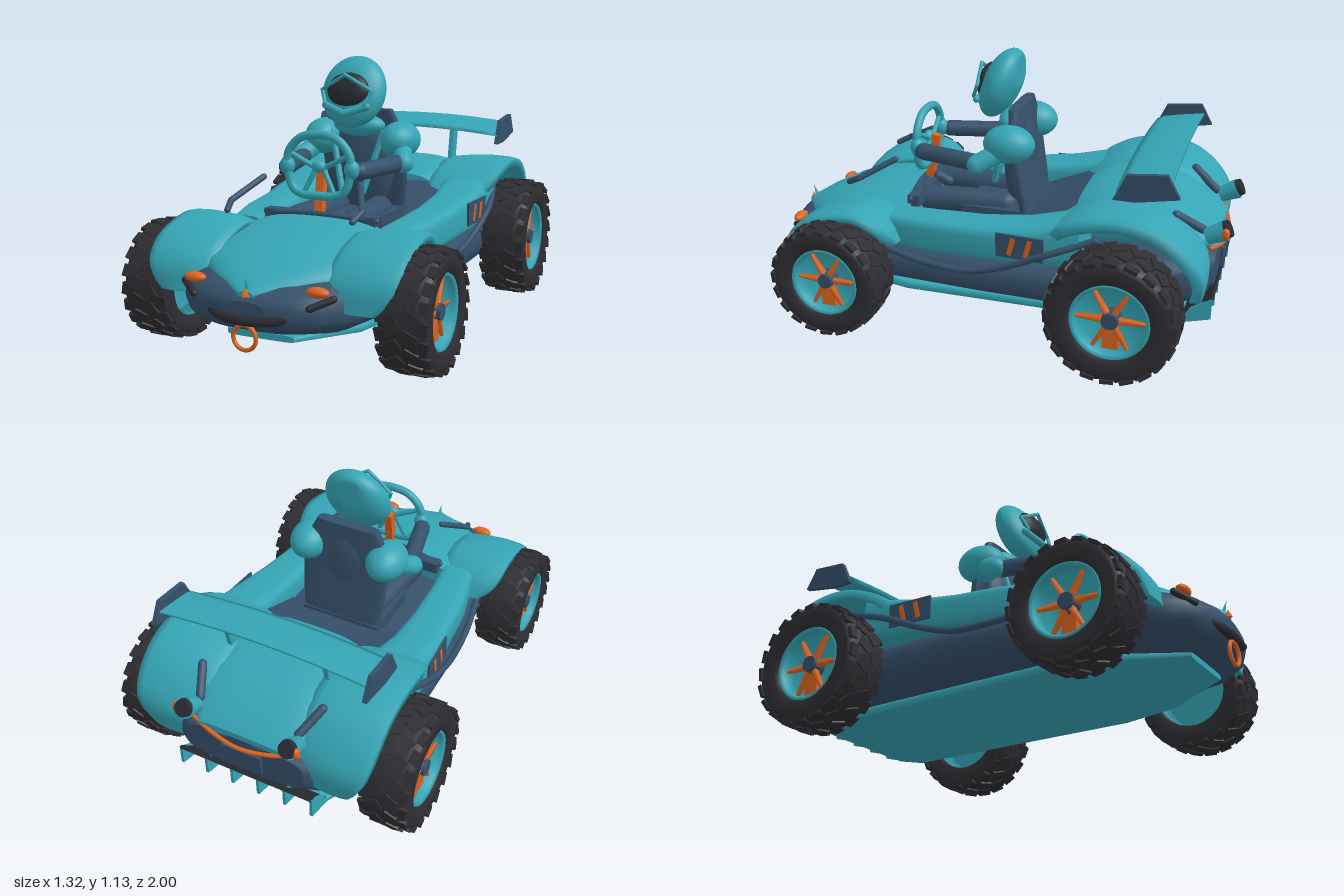
import * as THREE from 'three';
import { mergeGeometries } from 'three/addons/utils/BufferGeometryUtils.js';

const mat = (name, color) => {
  const m = new THREE.MeshStandardMaterial({ color });
  m.name = name;
  return m;
};
const V = (p) => new THREE.Vector3(...p);

// Skin closed rings of points into a capped solid, facing outwards
function loft(rings) {
  const n = rings[0].length, m = rings.length;
  const pos = rings.flat(), idx = [];
  for (let i = 0; i < m - 1; i++) for (let j = 0; j < n; j++) {
    const a = i * n + j, b = i * n + (j + 1) % n;
    idx.push(a, b, a + n, b, b + n, a + n);
  }
  [0, m - 1].forEach((r, end) => {
    const base = pos.length;
    const mid = [0, 1, 2].map((k) => rings[r].reduce((s, p) => s + p[k], 0) / n);
    pos.push(...rings[r], mid);
    for (let j = 0; j < n; j++) {
      const a = base + j, b = base + (j + 1) % n;
      if (end) idx.push(a, b, base + n); else idx.push(b, a, base + n);
    }
  });
  let vol = 0;
  for (let i = 0; i < idx.length; i += 3) vol += V(pos[idx[i]]).dot(V(pos[idx[i + 1]]).cross(V(pos[idx[i + 2]])));
  if (vol < 0) idx.reverse();
  const g = new THREE.BufferGeometry();
  g.setAttribute('position', new THREE.Float32BufferAttribute(pos.flat(), 3));
  g.setIndex(idx);
  g.computeVertexNormals();
  return g;
}

// Rounded-rectangle ring at depth z, between x0..x1 and y0..y1
function ring(z, x0, x1, y0, y1, e = 0.5, n = 32) {
  const pw = (v) => Math.sign(v) * Math.abs(v) ** e;
  return Array.from({ length: n }, (_, i) => {
    const a = (i / n) * Math.PI * 2;
    return [(x0 + x1) / 2 + (x1 - x0) / 2 * pw(Math.cos(a)), (y0 + y1) / 2 + (y1 - y0) / 2 * pw(Math.sin(a)), z];
  });
}

// Straight round bar and bent tube with rounded ends
function bar(a, b, r) {
  const A = V(a), B = V(b), d = B.clone().sub(A);
  const g = new THREE.CapsuleGeometry(r, d.length(), 5, 14);
  g.applyQuaternion(new THREE.Quaternion().setFromUnitVectors(V([0, 1, 0]), d.normalize()));
  const c = A.add(B).multiplyScalar(0.5);
  return g.translate(c.x, c.y, c.z);
}
function tube(pts, r) {
  const curve = new THREE.CatmullRomCurve3(pts.map(V));
  const ends = [pts[0], pts[pts.length - 1]].map((p) => new THREE.SphereGeometry(r, 10, 8).translate(...p));
  return mergeGeometries([new THREE.TubeGeometry(curve, 30, r, 10), ...ends]);
}
const ball = (p, s, rx = 0) => new THREE.SphereGeometry(1, 28, 20).scale(...s).rotateX(rx).translate(...p);
const box = (p, s, rx = 0, ry = 0) => new THREE.BoxGeometry(...s).rotateX(rx).rotateY(ry).translate(...p);

export function createModel() {
  const teal = mat('teal paint', 0x35a5b5), navy = mat('navy paint', 0x35506a);
  const rubber = mat('tyre rubber', 0x2e2e33), black = mat('dark trim', 0x2a2c33);
  const orange = mat('orange accent', 0xdc641f);
  const car = new THREE.Group();
  car.name = 'buggy';
  const add = (name, geo, m, parent = car) => {
    const mesh = new THREE.Mesh(geo, m);
    mesh.name = name;
    parent.add(mesh);
  };

  // Lower hull: z, half width, bottom, top, squareness
  add('hull', loft([[-0.94, 0.27, 0.27, 0.43, 0.55], [-0.88, 0.36, 0.22, 0.46, 0.6], [-0.7, 0.42, 0.16, 0.46, 0.7], [-0.4, 0.47, 0.14, 0.42, 0.78],
    [0, 0.47, 0.14, 0.42, 0.82], [0.36, 0.44, 0.14, 0.41, 0.8], [0.6, 0.42, 0.145, 0.4, 0.78], [0.8, 0.37, 0.155, 0.39, 0.75],
    [0.91, 0.28, 0.18, 0.36, 0.75], [0.955, 0.19, 0.205, 0.335, 0.8], [0.975, 0.08, 0.24, 0.31, 0.9]]
    .map(([z, w, b, t, e]) => ring(z, -w, w, b, t, e))), navy);
  add('floorPan', loft([[-0.84, 0.3, 0.125], [-0.75, 0.34, 0.11], [0.35, 0.35, 0.11], [0.6, 0.3, 0.115], [0.86, 0.14, 0.135]]
    .map(([z, w, b]) => ring(z, -w, w, b, 0.16, 0.35))), teal);

  // Hood: z, half width, edge height, crown height
  add('hood', loft([[0.36, 0.36, 0.33, 0.51], [0.5, 0.36, 0.33, 0.505], [0.65, 0.35, 0.33, 0.48], [0.78, 0.29, 0.33, 0.44],
    [0.88, 0.17, 0.33, 0.395], [0.965, 0.03, 0.325, 0.345]].map(([z, w, e, t]) =>
    Array.from({ length: 25 }, (_, i) => {
      const a = (i / 24) * Math.PI;
      return [w * Math.cos(a), e + (t - e) * Math.max(0, Math.sin(a)) ** 0.6, z];
    }))), teal);
  add('rearDeck', loft([[-0.36, 0.24, 0.36, 0.57], [-0.45, 0.27, 0.38, 0.615], [-0.6, 0.29, 0.4, 0.63], [-0.75, 0.28, 0.41, 0.595],
    [-0.87, 0.25, 0.42, 0.52], [-0.94, 0.2, 0.42, 0.455]].map(([z, w, b, t]) => ring(z, -w, w, b, t, 0.65))), teal);
  add('cockpitRear', box([0, 0.45, -0.26], [0.54, 0.09, 0.34], 0.38), navy);
  add('dashboard', box([0, 0.49, 0.35], [0.5, 0.05, 0.05]), navy);
  add('dashEdge', tube([[-0.25, 0.5, 0.36], [0, 0.515, 0.39], [0.25, 0.5, 0.36]], 0.012), navy);

  // Mudguard wrapped round a wheel centre, crisp at the outer rim; path points are [z, y]
  const guard = (s, path, cz, cy, x0, x1, th, taper) => {
    const pts = new THREE.CatmullRomCurve3(path.map(([z, y]) => V([0, y, z]))).getPoints(24);
    return loft(pts.map((p, k) => {
      const t = k / 24, inw = V([0, cy, cz]).sub(p).normalize();
      const xo = x1 - taper * Math.abs(2 * t - 1) ** 4;
      return [[0, 0.03], [0.12, 0.016], [0.35, 0.006], [0.65, 0], [0.9, 0.003], [1, 0.01], [1, 0.02 + th], [0.5, 0.01 + th], [0, 0.03 + th]]
        .map(([u, d]) => [s * (x0 + (xo - x0) * u), p.y + inw.y * d, p.z + inw.z * d]);
    }));
  };

  // Wheel built along +x, outer face at +x; r is the rim radius
  const wheel = (name, R, r, hw) => {
    const g = new THREE.Group();
    g.name = name;
    const lathe = (pts) => new THREE.LatheGeometry(pts.map(([q, a]) => new THREE.Vector2(q, a * hw)), 48).rotateZ(-Math.PI / 2);
    add('tyre', lathe([[r, -0.8], [r * 1.08, -0.95], [0.84 * R, -0.98], [0.93 * R, -0.87], [0.98 * R, -0.5], [0.98 * R, 0.5],
      [0.93 * R, 0.87], [0.84 * R, 0.98], [r * 1.08, 0.95], [r, 0.8], [r * 0.97, 0], [r, -0.8]]), rubber, g);
    const lugs = [];
    for (let i = 0; i < 20; i++) for (const [x, q, w, off, skew] of [[-0.3, 0.97, 0.55, 0, 0.5], [0.3, 0.97, 0.55, 0.5, -0.5],
      [-0.82, 0.93, 0.36, 0.5, 0.15], [0.82, 0.93, 0.36, 0, -0.15]]) {
      lugs.push(new THREE.BoxGeometry(w * hw, 0.06 * R, 0.2 * R).rotateY(skew).translate(x * hw, q * R, 0)
        .rotateX((i + off) / 20 * Math.PI * 2));
    }
    add('treadLugs', mergeGeometries(lugs), rubber, g);
    add('rim', lathe([[r * 0.86, 0.2], [r, -0.8], [r * 1.01, 0.75], [r * 0.97, 0.87], [r * 0.89, 0.75], [r * 0.84, 0.2], [0.001, 0.15]]), teal, g);
    add('rimBack', new THREE.CylinderGeometry(r * 0.98, r * 0.98, 0.3 * hw, 36).rotateZ(Math.PI / 2), teal, g);
    // Spokes narrow from hub to rim
    const spokes = [];
    for (let i = 0; i < 6; i++)
      spokes.push(new THREE.CylinderGeometry(0.055 * r, 0.11 * r, 0.78 * r, 4, 1).rotateY(Math.PI / 4)
        .translate(0.5 * hw, 0.52 * r, 0).rotateX((i + 0.5) * Math.PI / 3));
    add('spokes', mergeGeometries(spokes), orange, g);
    add('hub', new THREE.CylinderGeometry(0.21 * r, 0.25 * r, 0.7 * hw, 16).rotateZ(-Math.PI / 2).translate(0.4 * hw, 0, 0), navy, g);
    add('caliper', box([0.35 * hw, -0.56 * r, 0], [0.3 * hw, 0.5 * r, 0.4 * r]), orange, g);
    car.add(g);
    return g;
  };

  for (const s of [1, -1]) {
    const side = s > 0 ? 'left' : 'right';
    for (const [end, R, r, x, z] of [['Front', 0.243, 0.147, 0.543, 0.6], ['Rear', 0.267, 0.158, 0.556, -0.6]]) {
      const w = wheel(side + end + 'Wheel', R, r, 0.1);
      w.position.set(s * x, R, z);
      if (s < 0) w.rotation.y = Math.PI;
    }
    add(side + 'FrontFender', guard(s, [[0.34, 0.38], [0.39, 0.46], [0.49, 0.515], [0.62, 0.505], [0.75, 0.455], [0.83, 0.37], [0.85, 0.27]],
      0.6, 0.245, 0.24, 0.53, 0.02, 0.08), teal);
    add(side + 'RearFender', guard(s, [[-0.26, 0.49], [-0.36, 0.575], [-0.48, 0.625], [-0.62, 0.638], [-0.75, 0.61], [-0.86, 0.53], [-0.93, 0.42],
      [-0.92, 0.3]], -0.6, 0.27, 0.2, 0.53, 0.03, 0.09), teal);
    // Side pod: z, inner, outer, bottom, top
    add(side + 'SidePod', loft([[0.4, 0.25, 0.4, 0.34, 0.48], [0.2, 0.27, 0.445, 0.345, 0.495], [0, 0.28, 0.465, 0.355, 0.505],
      [-0.2, 0.28, 0.485, 0.365, 0.53], [-0.44, 0.26, 0.49, 0.38, 0.59]].map(([z, i, o, b, t]) => ring(z, s * i, s * o, b, t))), teal);
    add(side + 'DoorPanel', box([s * 0.486, 0.455, -0.2], [0.009, 0.1, 0.2], 0, -s * 0.06), navy);
    // Slanted accent stripes on the door panel
    for (const z of [-0.165, -0.235])
      add(side + 'DoorStripe', box([s * (0.489 - 0.06 * (z + 0.2)), 0.455, z], [0.008, 0.075, 0.02], -0.25, -s * 0.06), orange);
    add(side + 'NerfBar', tube([[0.43, 0.345, 0.4], [0.465, 0.32, 0.2], [0.482, 0.32, 0.02], [0.495, 0.36, -0.12], [0.505, 0.45, -0.32],
      [0.47, 0.52, -0.5]].map(([x, y, z]) => [s * x, y, z]), 0.014), navy);
    add(side + 'ScreenBarUpper', bar([s * 0.215, 0.66, 0.44], [s * 0.285, 0.583, 0.58], 0.013), navy);
    add(side + 'ScreenBarLower', bar([s * 0.285, 0.583, 0.58], [s * 0.27, 0.555, 0.635], 0.013), navy);
    // Front lights and trim
    add(side + 'Headlight', ball([s * 0.255, 0.352, 0.895], [0.045, 0.02, 0.025]), orange);
    add(side + 'NoseBar', bar([s * 0.24, 0.3, 0.93], [s * 0.31, 0.33, 0.88], 0.014), black);
    // Tail lamps
    add(side + 'TailLampBody', new THREE.CylinderGeometry(0.042, 0.032, 0.08, 20).rotateX(-1.1).translate(s * 0.23, 0.508, -0.935), teal);
    add(side + 'TailLamp', new THREE.CylinderGeometry(0.034, 0.038, 0.03, 20).rotateX(-1.1).translate(s * 0.23, 0.532, -0.975), black);
    add(side + 'TailLampMarker', ball([s * 0.265, 0.525, -0.975], [0.014, 0.024, 0.016]), orange);
    add(side + 'TailTrim', bar([s * 0.22, 0.515, -0.88], [s * 0.27, 0.585, -0.78], 0.018), navy);
    // Wing supports and end plates
    add(side + 'WingStrut', box([s * 0.22, 0.67, -0.64], [0.02, 0.17, 0.06], -0.2), teal);
    const plate = new THREE.Shape([[0.56, 0.7], [0.65, 0.7], [0.815, 0.73], [0.765, 0.82], [0.61, 0.805]].map((p) => new THREE.Vector2(...p)));
    add(side + 'WingEndPlate', new THREE.ExtrudeGeometry(plate, { depth: 0.02, bevelEnabled: false }).rotateY(Math.PI / 2)
      .translate(s * 0.46 - 0.01, 0, 0), navy);
  }

  // Rear wing, bowed up in the middle
  const foil = [[-0.57, 0.735], [-0.6, 0.75], [-0.68, 0.765], [-0.78, 0.78], [-0.78, 0.77], [-0.68, 0.742], [-0.6, 0.73]];
  add('rearWing', loft(Array.from({ length: 13 }, (_, i) => {
    const x = -0.46 + i * 0.92 / 12;
    return foil.map(([z, y]) => [x, y + 0.028 * (1 - (x / 0.46) ** 2), z]);
  })), teal);

  // Nose details
  add('frontBumper', tube([[-0.18, 0.262, 0.93], [-0.1, 0.245, 0.965], [0, 0.24, 0.978], [0.1, 0.245, 0.965], [0.18, 0.262, 0.93]], 0.02), black);
  add('towRing', new THREE.TorusGeometry(0.047, 0.008, 10, 32).translate(0, 0.175, 0.975), orange);
  add('noseFin', new THREE.ConeGeometry(0.014, 0.08, 8).rotateX(0.35).translate(0, 0.36, 0.95), teal);
  add('noseMarker', new THREE.ConeGeometry(0.018, 0.035, 4).translate(0, 0.343, 0.965), orange);

  // Tail details and diffuser
  add('tailTrimLine', tube([[-0.24, 0.445, -0.92], [-0.12, 0.42, -0.95], [0, 0.412, -0.965], [0.12, 0.42, -0.95], [0.24, 0.445, -0.92]], 0.009), orange);
  add('tailPlate', box([0, 0.345, -0.95], [0.18, 0.08, 0.012]), navy);
  add('diffuser', box([0, 0.2, -0.885], [0.6, 0.012, 0.17], 0.74), black);
  const fin = new THREE.Shape([[0.82, 0.13], [0.945, 0.165], [0.945, 0.255], [0.86, 0.2]].map((p) => new THREE.Vector2(...p)));
  for (let i = 0; i < 6; i++)
    add('diffuserFin', new THREE.ExtrudeGeometry(fin, { depth: 0.012, bevelEnabled: false }).rotateY(Math.PI / 2)
      .translate(-0.306 + i * 0.12, 0, 0), teal);

  // Reclined seat
  add('seatBack', loft([[0.4, 0.17, -0.13], [0.55, 0.19, -0.11], [0.7, 0.2, -0.085], [0.82, 0.18, -0.07], [0.9, 0.14, -0.06]].map(([y, w, z]) =>
    ring(0, -w, w, -0.025, 0.025, 0.5).map(([x, d]) => [x, y, z + d]))), navy);
  add('seatBase', box([0, 0.42, 0], [0.36, 0.1, 0.3]), navy);

  // Steering wheel, flat along the bottom
  const rimPts = [[0, 0.835], [0.08, 0.82], [0.135, 0.76], [0.14, 0.69], [0.115, 0.61], [0.07, 0.588], [0, 0.585]];
  const loop = [...rimPts, ...rimPts.slice(1, -1).reverse().map(([x, y]) => [-x, y])].map(([x, y]) => V([x, y, 0.37]));
  add('steeringRim', new THREE.TubeGeometry(new THREE.CatmullRomCurve3(loop, true), 60, 0.018, 12, true), teal);
  for (const s of [1, -1]) {
    add('steeringSpoke', bar([s * 0.02, 0.7, 0.36], [s * 0.13, 0.755, 0.37], 0.011), teal);
    add('steeringSpoke', bar([s * 0.02, 0.69, 0.36], [s * 0.07, 0.59, 0.37], 0.011), teal);
  }
  add('steeringColumn', box([0, 0.61, 0.35], [0.035, 0.21, 0.035], -0.17), orange);
  add('columnBase', bar([0, 0.52, 0.33], [0, 0.5, 0.28], 0.022), navy);
  add('steeringHub', ball([0, 0.705, 0.37], [0.03, 0.025, 0.022]), teal);

  // Driver
  const driver = new THREE.Group();
  driver.name = 'driver';
  car.add(driver);
  add('torso', ball([0, 0.65, -0.06], [0.15, 0.22, 0.06]), navy, driver);
  add('collar', ball([0, 0.83, -0.03], [0.12, 0.05, 0.06]), teal, driver);
  for (const s of [1, -1]) {
    add('shoulder', ball([s * 0.18, 0.77, -0.06], [0.085, 0.08, 0.11]), teal, driver);
    add('upperArm', bar([s * 0.2, 0.74, -0.03], [s * 0.245, 0.69, 0.06], 0.042), teal, driver);
    add('forearm', bar([s * 0.225, 0.69, 0.07], [s * 0.165, 0.69, 0.33], 0.036), navy, driver);
    add('glove', ball([s * 0.145, 0.7, 0.365], [0.032, 0.04, 0.03]), teal, driver);
    add('leg', bar([s * 0.1, 0.47, -0.02], [s * 0.13, 0.47, 0.32], 0.055), navy, driver);
    add('harnessStrap', bar([s * 0.12, 0.8, -0.01], [s * 0.05, 0.55, 0.045], 0.014), teal, driver);
    add('visorTrim', bar([s * 0.115, 0.99, 0.1], [0, 1.057, 0.118], 0.008), teal, driver);
    add('visorHinge', bar([s * 0.115, 0.99, 0.1], [s * 0.09, 0.935, 0.125], 0.008), teal, driver);
    add('chinGuard', bar([s * 0.095, 0.925, 0.11], [0, 0.895, 0.14], 0.016), teal, driver);
  }
  // Helmet: squashed ball leaning back, flat behind
  const helmet = new THREE.SphereGeometry(1, 36, 28).scale(0.145, 0.15, 0.085);
  const p = helmet.attributes.position;
  for (let i = 0; i < p.count; i++) p.setZ(i, Math.max(p.getZ(i) - 0.3 * p.getY(i) + 0.025, -0.058));
  helmet.translate(0, 0.978, 0).computeVertexNormals();
  add('helmet', helmet, teal, driver);
  add('visor', ball([0, 0.99, 0.088], [0.095, 0.075, 0.038], -0.28), black, driver);
  return car;
}
